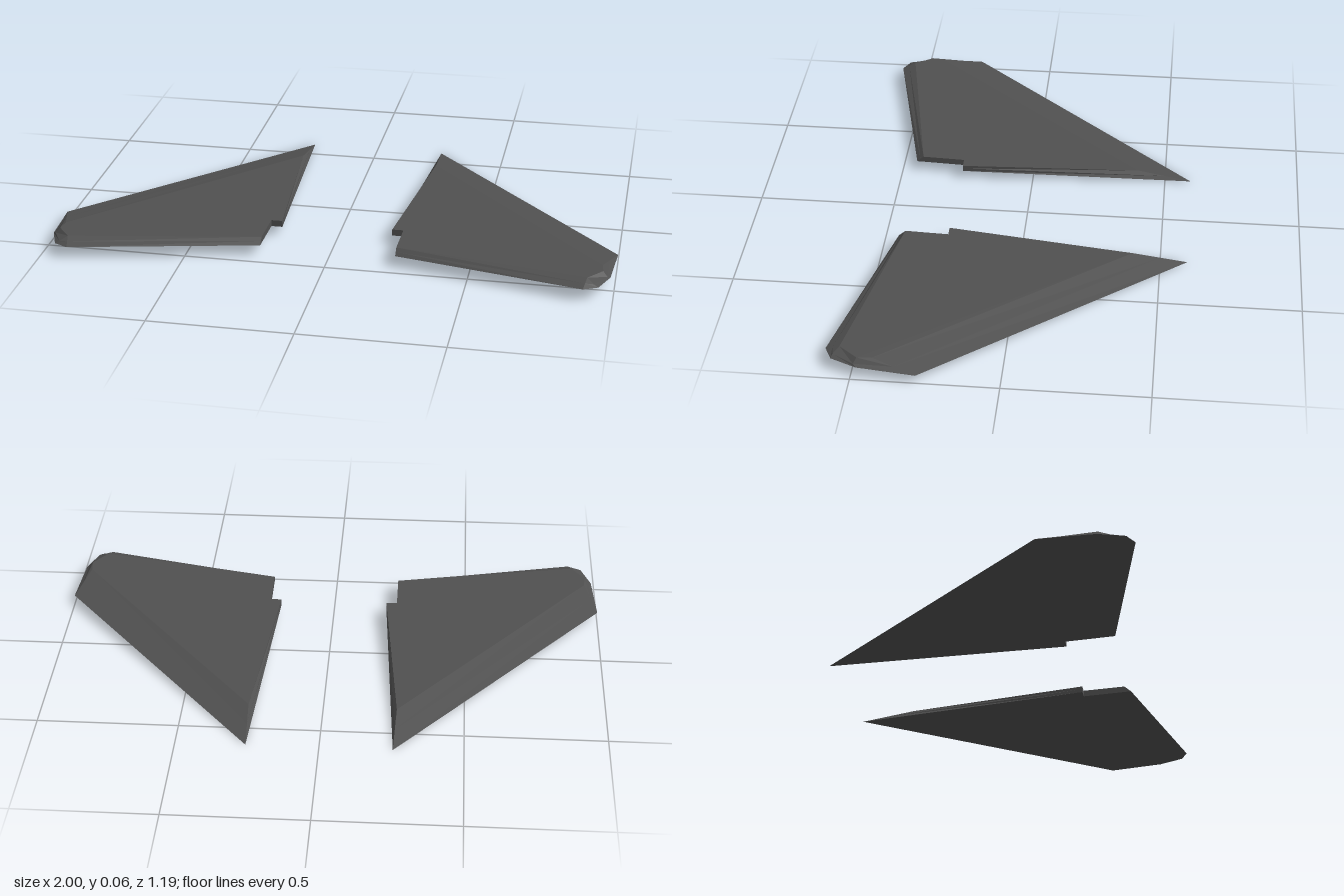
import * as THREE from 'three';

// Slightly pitched lower and upper planes of the wing
const lowY = z => 0.0225 + 0.037 * z;
const highY = z => 0.0466 + 0.034 * z;

// Outlines [x, z]: nose, tip front, tip rear, corner, corner, trailing root, notch, root
const LOWER = [[0.255, -0.597], [1, 0.28], [0.985, 0.48], [0.95, 0.57], [0.9, 0.595],
  [0.24, 0.445], [0.24, 0.265], [0.2, 0.265]];
const UPPER = [[0.262, -0.4], [0.955, 0.43], [0.96, 0.48], [0.91, 0.545], [0.91, 0.545],
  [0.24, 0.42], [0.24, 0.265], [0.2, 0.265]];

function wingGeometry(side) {
  const positions = [];
  const tri = (a, b, c) => {
    const t = new THREE.Triangle(a, b, c);
    if (t.getArea() < 1e-7) return;
    for (const p of side > 0 ? [a, b, c] : [a, c, b]) positions.push(p.x * side, p.y, p.z);
  };

  const low = LOWER.map(([x, z]) => new THREE.Vector3(x, lowY(z), z));
  const high = UPPER.map(([x, z]) => new THREE.Vector3(x, highY(z), z));
  // Middle ring, pulled in and down at the tip to form the small step
  const mid = low.map((p, i) => p.clone().lerp(high[i], 0.5));
  mid[2].set(0.975, 0.047, 0.49);
  mid[3].set(0.935, 0.052, 0.565);

  // Bevelled edges
  const rings = [low, mid, high];
  for (let r = 0; r < 2; r++) {
    low.forEach((_, i) => {
      const j = (i + 1) % low.length;
      const a = rings[r], b = rings[r + 1];
      tri(a[i], b[j], a[j]);
      tri(a[i], b[i], b[j]);
    });
  }

  // Upper and lower skins
  const cap = (ring, up) => {
    const contour = ring.map(p => new THREE.Vector2(p.x, p.z));
    for (const [i, j, k] of THREE.ShapeUtils.triangulateShape(contour, [])) {
      const n = new THREE.Triangle(ring[i], ring[j], ring[k]).getNormal(new THREE.Vector3());
      if (n.y * up > 0) tri(ring[i], ring[j], ring[k]);
      else tri(ring[i], ring[k], ring[j]);
    }
  };
  cap(high.filter((_, i) => i !== 4), 1);
  cap(low, -1);

  const geometry = new THREE.BufferGeometry();
  geometry.setAttribute('position', new THREE.Float32BufferAttribute(positions, 3));
  geometry.computeVertexNormals();
  return geometry;
}

export function createModel() {
  const model = new THREE.Group();
  model.name = 'wingPair';
  const material = new THREE.MeshStandardMaterial({ color: 0x505050, flatShading: true });
  for (const side of [1, -1]) {
    const wing = new THREE.Mesh(wingGeometry(side), material);
    wing.name = side > 0 ? 'leftWing' : 'rightWing';
    model.add(wing);
  }
  return model;
}
